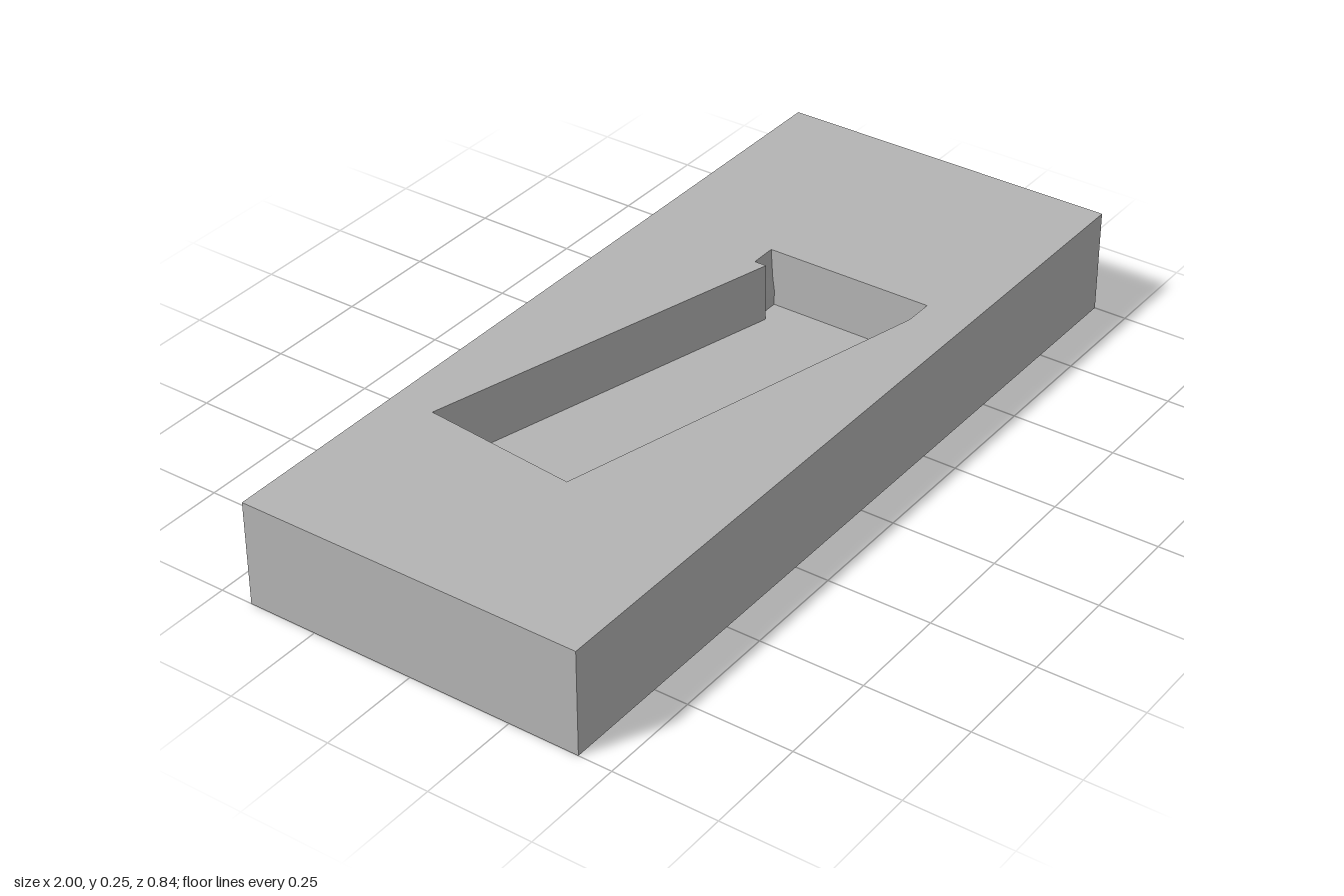
import * as THREE from 'three';
import { toCreasedNormals } from 'three/addons/utils/BufferGeometryUtils.js';

const W = 2, H = 0.254, D = 0.84;

// pocket outline (x, z, inward shift factors for the rounded front wall and notch)
const outline = [
  { x: -0.525, z: -0.315 },
  { x: 0.365, z: -0.08 },
  { x: 0.365, z: -0.11, notch: true },
  { x: 0.43, z: -0.11, notch: true },
  { x: 0.43, z: 0.304, front: true },
  { x: 0.36, z: 0.304, front: true },
  { x: -0.565, z: 0.068, front: true, slant: 0.105 },
];

// pocket wall profile: [inset, depth]
const profile = [[0, 0], [0.005, 0.07], [0.012, 0.105], [0.03, 0.128], [0.06, 0.142]];

const ring = ([inset, depth]) => outline.map((p) => new THREE.Vector3(
  p.x + (p.slant || 0) * inset,
  H - depth,
  p.z - (p.front ? inset : 0) + (p.notch ? Math.min(inset, 0.01) : 0),
));

// flat horizontal face from points, optionally with a hole
function flatFace(points, y, hole) {
  const to2 = (p) => new THREE.Vector2(p.x, -p.z);
  const shape = new THREE.Shape(points.map(to2));
  if (hole) shape.holes.push(new THREE.Path(hole.map(to2)));
  return new THREE.ShapeGeometry(shape).rotateX(-Math.PI / 2).translate(0, y, 0);
}

export function createModel() {
  const group = new THREE.Group();
  const grey = new THREE.MeshStandardMaterial({ color: 0xb4b4b4 });
  grey.name = 'grey';
  const add = (name, geometry) => {
    const mesh = new THREE.Mesh(geometry, grey);
    mesh.name = name;
    group.add(mesh);
  };

  // block sides and underside: a box without its top face
  const box = new THREE.BoxGeometry(W, H, D).translate(0, H / 2, 0);
  box.setIndex(Array.from(box.index.array).filter((_, i) => i < 12 || i >= 18));
  box.clearGroups();
  add('blockSides', box);

  // top surface with the pocket opening
  const rings = profile.map(ring);
  const corners = [[-1, -1], [1, -1], [1, 1], [-1, 1]].map(([sx, sz]) => new THREE.Vector3(sx * W / 2, H, sz * D / 2));
  add('topSurface', flatFace(corners, H, rings[0]));

  // pocket walls, lofted down through the rings
  const pos = [];
  for (let r = 0; r < rings.length - 1; r++) {
    for (let i = 0; i < outline.length; i++) {
      const j = (i + 1) % outline.length;
      const [p, q] = [rings[r], rings[r + 1]];
      for (const v of [p[i], q[i], q[j], p[i], q[j], p[j]]) pos.push(v.x, v.y, v.z);
    }
  }
  const walls = new THREE.BufferGeometry();
  walls.setAttribute('position', new THREE.Float32BufferAttribute(pos, 3));
  add('pocketWalls', toCreasedNormals(walls, 0.6));

  // pocket floor
  const last = rings[rings.length - 1];
  add('pocketFloor', flatFace(last, last[0].y));

  return group;
}
